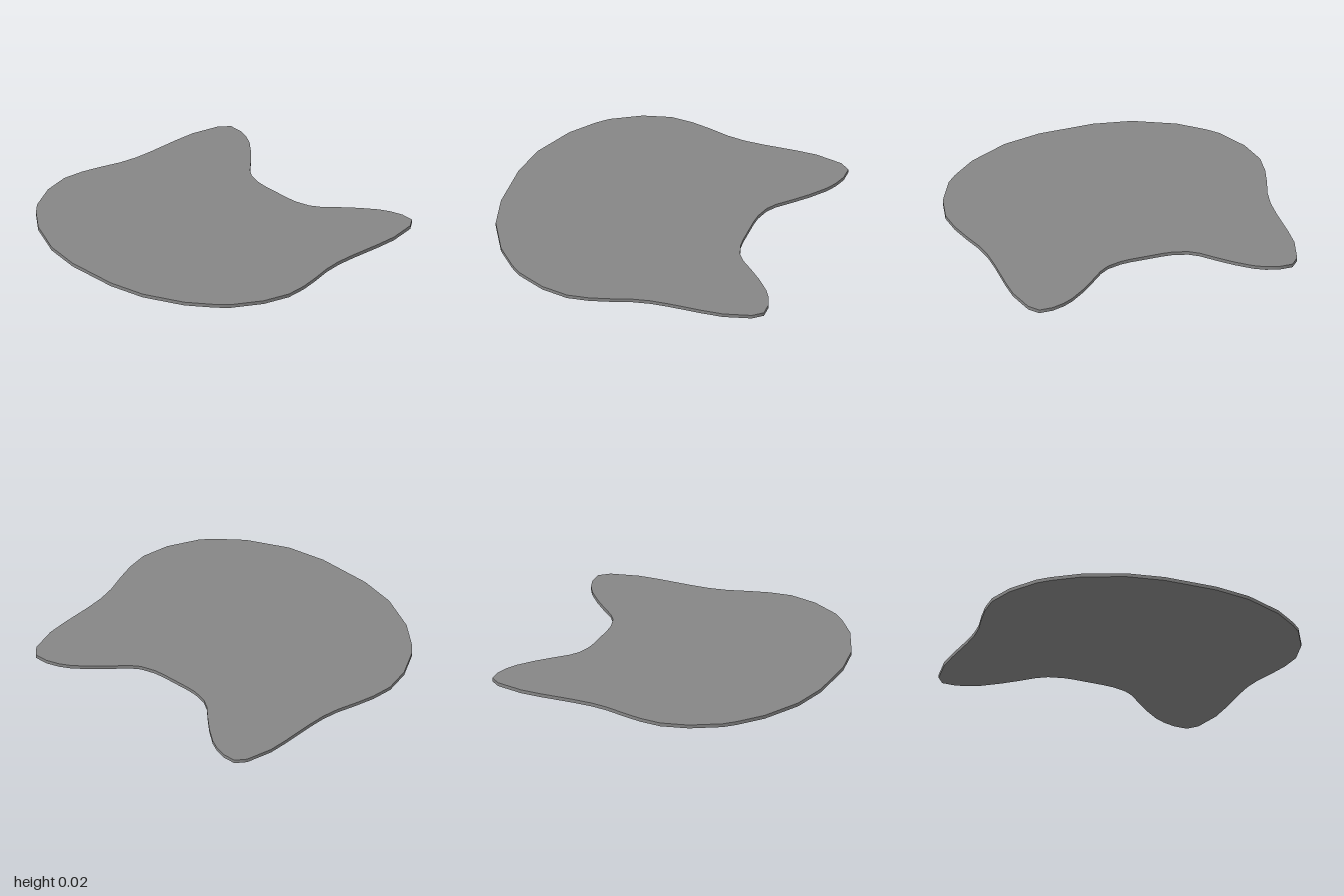
import * as THREE from 'three';
import { toCreasedNormals } from 'three/addons/utils/BufferGeometryUtils.js';

const THICKNESS = 0.022;

// Left half of the outline as [x, z], from the chin around the cheek and ear to the brow
const HALF = [
  [0.17, 0.94], [0.405, 0.895], [0.65, 0.78], [0.8, 0.66], [0.862, 0.595], [0.96, 0.415],
  [1, 0.245], [0.987, 0.11], [0.957, -0.01], [0.918, -0.14], [0.9, -0.25], [0.896, -0.37],
  [0.899, -0.58], [0.895, -0.71], [0.855, -0.88], [0.805, -0.94], [0.72, -0.94], [0.64, -0.915],
  [0.575, -0.88], [0.48, -0.805], [0.4, -0.73], [0.315, -0.645], [0.255, -0.605],
  [0.165, -0.58], [0.1, -0.575],
];

export function createModel() {
  const group = new THREE.Group();
  group.name = 'catHeadPlate';

  // Mirror the half outline to close the silhouette
  const left = HALF.map(([x, z]) => new THREE.Vector2(x, -z));
  const right = left.map((p) => new THREE.Vector2(-p.x, p.y)).reverse();
  const outline = new THREE.Shape([...left, ...right]);

  // Thin flat plate lying on the ground, with a smooth rim and sharp top and bottom edges
  const extruded = new THREE.ExtrudeGeometry(outline, { depth: THICKNESS, bevelEnabled: false });
  extruded.rotateX(-Math.PI / 2);
  const geometry = toCreasedNormals(extruded, Math.PI / 3);

  const plate = new THREE.Mesh(geometry, new THREE.MeshStandardMaterial({ color: 0x868686 }));
  plate.name = 'plate';
  group.add(plate);
  return group;
}
